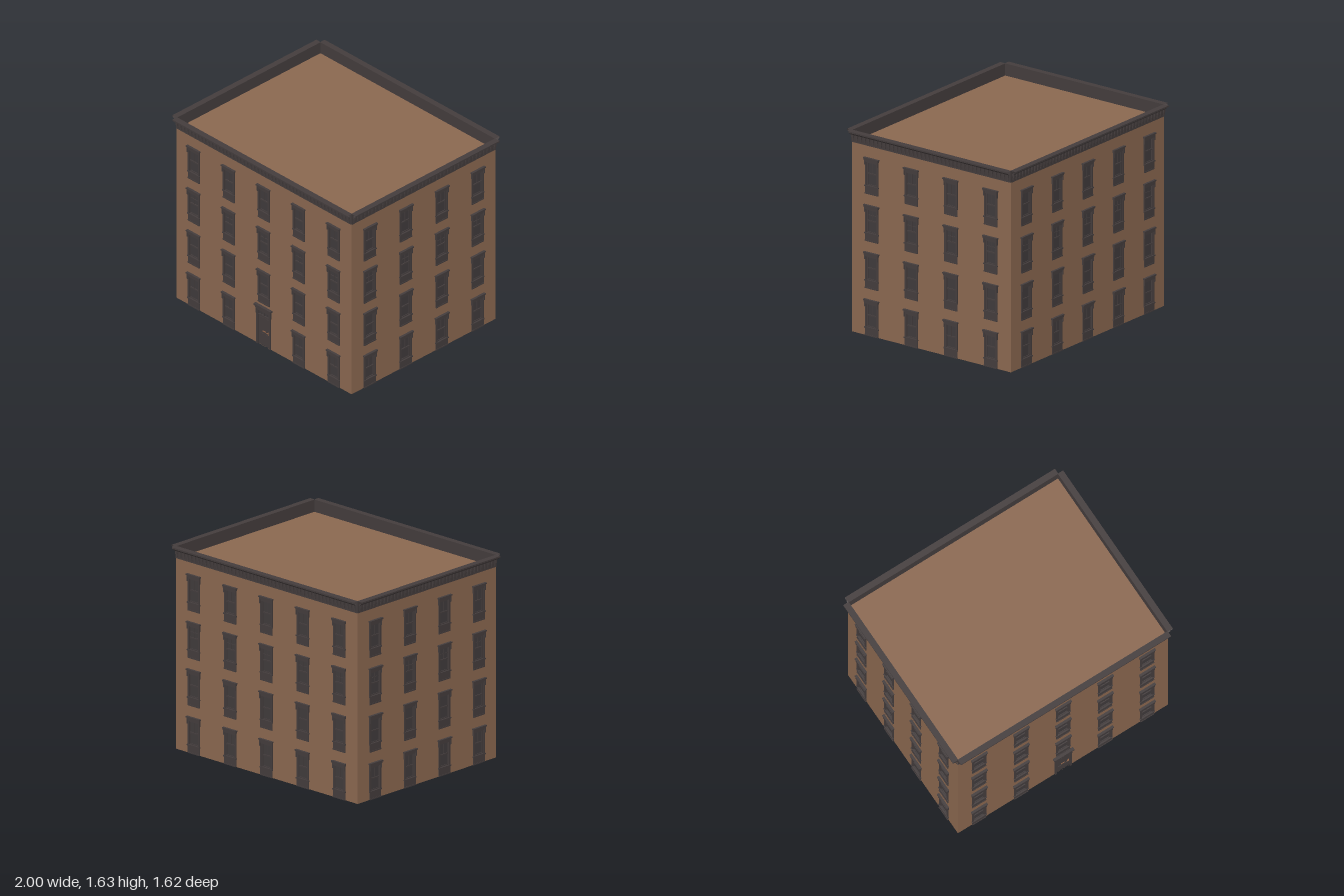
import * as THREE from 'three';
import { mergeGeometries } from 'three/addons/utils/BufferGeometryUtils.js';

const HALF_X = 0.955, HALF_Z = 0.765, WALL_TOP = 1.535, TOP = 1.63;
const STEP = 0.382; // spacing of window columns and of storeys

const mat = (name, color, side = THREE.FrontSide) => {
  const m = new THREE.MeshStandardMaterial({ color, side });
  m.name = name;
  return m;
};

// Box given by its x centre, width and its y and z ranges
function box(x, w, y0, y1, z0, z1) {
  return new THREE.BoxGeometry(w, y1 - y0, z1 - z0).translate(x, (y0 + y1) / 2, (z0 + z1) / 2);
}

export function createModel() {
  const brick = mat('brick', 0x8b6850, THREE.DoubleSide);
  const trim = mat('trim', 0x443d3d, THREE.DoubleSide);
  const glass = mat('glass', 0x403b3c);
  const brass = mat('brass', 0xa06a48);
  const model = new THREE.Group();
  model.name = 'building';

  const part = (parent, name, geometries, material) => {
    const mesh = new THREE.Mesh(mergeGeometries(geometries), material);
    mesh.name = name;
    parent.add(mesh);
    return mesh;
  };

  // Window, its origin at the bottom centre on the wall plane
  function makeWindow(style) {
    const g = new THREE.Group();
    g.name = 'window';
    part(g, 'windowSurround', [
      ...[-1, 1].map(s => box(s * 0.055, 0.016, 0.065, 0.262, -0.012, 0.007)),
      box(0, 0.126, 0, 0.06, 0.0005, 0.006),
      box(0, 0.134, 0.06, 0.07, -0.012, 0.012),
      box(0, 0.126, 0, 0.01, 0.0005, 0.009)], trim);
    part(g, 'windowLintel', [
      box(0, 0.126, 0.258, 0.272, -0.012, 0.01),
      box(0, 0.134, 0.272, 0.284, 0, 0.015),
      box(0, 0.143, 0.284, 0.295, 0, 0.02),
      ...[-1, 1].map(s => box(s * 0.061, 0.01, 0.235, 0.272, 0, 0.014))], trim);
    const bars = [
      ...[-1, 1].map(s => box(s * 0.044, 0.008, 0.07, 0.258, -0.01, -0.001)),
      box(0, 0.09, 0.07, 0.078, -0.01, -0.001),
      box(0, 0.09, 0.25, 0.258, -0.01, -0.001),
      box(0, 0.09, 0.16, 0.17, -0.01, 0.001)];
    if (style > 0) bars.push(box(0, 0.005, 0.17, 0.25, -0.01, -0.003));
    if (style > 1) bars.push(box(0, 0.09, 0.208, 0.213, -0.01, -0.003));
    part(g, 'windowSash', bars, trim);
    part(g, 'windowGlass', [box(0, 0.094, 0.07, 0.258, -0.012, -0.007)], glass);
    return g;
  }

  // Door with transom lights and a flared hood
  function makeDoor() {
    const g = new THREE.Group();
    g.name = 'door';
    part(g, 'doorSurround', [
      ...[-1, 1].map(s => box(s * 0.068, 0.016, 0, 0.31, -0.012, 0.01)),
      box(0, 0.122, 0.265, 0.272, -0.012, 0.004),
      box(0, 0.122, 0.302, 0.31, -0.012, 0.004),
      ...[-2, -1, 0, 1, 2].map(i => box(i * 0.0295, 0.004, 0.272, 0.302, -0.012, 0.002))], trim);
    part(g, 'doorHood', [
      box(0, 0.152, 0.31, 0.325, -0.01, 0.012),
      box(0, 0.164, 0.325, 0.342, 0, 0.018),
      box(0, 0.182, 0.342, 0.357, 0, 0.025),
      ...[-1, 1].map(s => box(s * 0.072, 0.014, 0.275, 0.325, 0, 0.016))], trim);
    part(g, 'doorLeaf', [box(0, 0.12, 0, 0.265, -0.012, -0.004)], trim);
    part(g, 'doorPanels', [-1, 1].flatMap(s => [
      box(s * 0.027, 0.036, 0.02, 0.105, -0.005, -0.001),
      box(s * 0.027, 0.036, 0.15, 0.25, -0.005, -0.001)]), trim);
    part(g, 'transomGlass', [box(0, 0.12, 0.272, 0.302, -0.012, -0.007)], glass);
    part(g, 'doorHandle', [
      box(0.05, 0.006, 0.115, 0.145, -0.005, 0.002),
      box(0.042, 0.02, 0.13, 0.134, 0.002, 0.007),
      box(0, 0.032, 0.126, 0.132, -0.005, 0)], brass);
    return g;
  }

  // Cornice: open-ended ribbon along the wall with a row of brackets
  function makeCornice(half) {
    const g = new THREE.Group();
    g.name = 'cornice';
    const profile = [[0, WALL_TOP], [0.006, WALL_TOP], [0.006, 1.545], [0.01, 1.595], [0.022, 1.6],
      [0.03, 1.61], [0.045, 1.618], [0.045, TOP], [-0.004, TOP], [-0.004, 1.53]];
    const ribbon = new THREE.PlaneGeometry(half * 2, 1, 1, profile.length - 1);
    const p = ribbon.attributes.position;
    for (let i = 0; i < p.count; i++) {
      // Rows run from the inner edge so that faces look outward
      const [z, y] = profile[profile.length - 1 - (i >> 1)];
      p.setY(i, y);
      p.setZ(i, z);
    }
    const flat = ribbon.toNonIndexed();
    flat.computeVertexNormals();
    part(g, 'corniceMoulding', [flat], trim);
    const n = Math.round(half * 2 / 0.0382), brackets = [];
    for (let i = 0; i < n; i++) {
      const x = -half + (i + 0.5) * 2 * half / n;
      brackets.push(box(x, 0.016, 1.575, 1.602, 0.004, 0.021), box(x, 0.012, 1.55, 1.575, 0.004, 0.014));
    }
    part(g, 'corniceBrackets', brackets, trim);
    return g;
  }

  // One side of the building, facing +z before it is turned
  const styles = [1, 0, 2, 1]; // glazing pattern of each storey
  function makeFacade(name, half, columns, hasDoor) {
    const g = new THREE.Group();
    g.name = name;
    const shape = new THREE.Shape();
    shape.moveTo(-half, 0).lineTo(half, 0).lineTo(half, WALL_TOP).lineTo(-half, WALL_TOP);
    const opening = (x, w, y0, y1) => {
      const hole = new THREE.Path();
      hole.moveTo(x - w, y0).lineTo(x - w, y1).lineTo(x + w, y1).lineTo(x + w, y0);
      shape.holes.push(hole);
    };
    for (let c = 0; c < columns; c++) {
      const x = (c - (columns - 1) / 2) * STEP;
      for (let r = 0; r < 4; r++) {
        const door = hasDoor && r === 0 && x === 0;
        const unit = door ? makeDoor() : makeWindow(styles[r]);
        unit.position.set(x, r * STEP, 0);
        g.add(unit);
        if (door) opening(x, 0.062, 0.002, 0.308);
        else opening(x, 0.05, r * STEP + 0.066, r * STEP + 0.262);
      }
    }
    part(g, 'wall', [new THREE.ShapeGeometry(shape)], brick);
    g.add(makeCornice(half));
    return g;
  }

  const front = makeFacade('frontFacade', HALF_X, 5, true);
  front.position.z = HALF_Z;
  const back = makeFacade('backFacade', HALF_X, 5, false);
  back.position.z = -HALF_Z;
  back.rotation.y = Math.PI;
  const left = makeFacade('leftFacade', HALF_Z, 4, false);
  left.position.x = HALF_X;
  left.rotation.y = Math.PI / 2;
  const right = makeFacade('rightFacade', HALF_Z, 4, false);
  right.position.x = -HALF_X;
  right.rotation.y = -Math.PI / 2;
  model.add(front, back, left, right);

  // Flat roof sunk behind the parapet
  const roof = part(model, 'roof', [new THREE.PlaneGeometry(HALF_X * 2, HALF_Z * 2)], brick);
  roof.rotation.x = -Math.PI / 2;
  roof.position.y = 1.532;
  return model;
}
